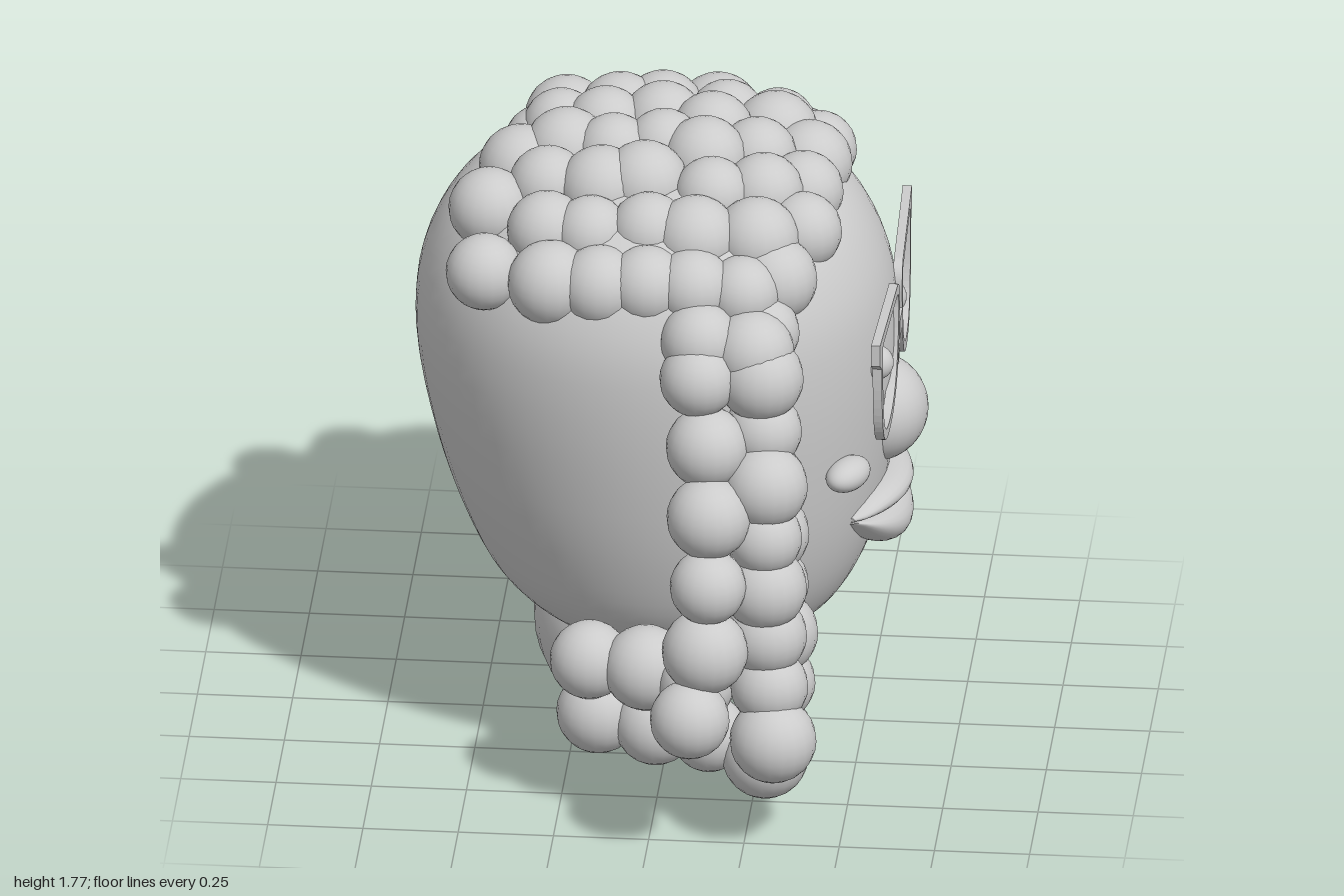
import * as THREE from 'three';

const mat = new THREE.MeshStandardMaterial({ color: 0xcccccc });
const matTwoSided = new THREE.MeshStandardMaterial({ color: 0xcccccc, side: THREE.DoubleSide });
const V = (p) => new THREE.Vector3(...p);

function add(parent, name, geometry, pos = [0, 0, 0], material = mat) {
  const mesh = new THREE.Mesh(geometry, material);
  mesh.name = name;
  mesh.position.set(...pos);
  parent.add(mesh);
  return mesh;
}

function ellipsoid(parent, name, pos, radii) {
  const mesh = add(parent, name, new THREE.SphereGeometry(1, 32, 20), pos);
  mesh.scale.set(...radii);
  return mesh;
}

// Skin a stack of closed rings: ring(t, angle) gives a point
function loft(ring, rows, cols) {
  const pos = [], idx = [];
  for (let i = 0; i <= rows; i++)
    for (let j = 0; j < cols; j++) pos.push(...ring(i / rows, (j / cols) * Math.PI * 2));
  for (let i = 0; i < rows; i++)
    for (let j = 0; j < cols; j++) {
      const a = i * cols + j, b = i * cols + (j + 1) % cols;
      idx.push(a, a + cols, b, b, a + cols, b + cols);
    }
  const g = new THREE.BufferGeometry();
  g.setAttribute('position', new THREE.Float32BufferAttribute(pos, 3));
  g.setIndex(idx);
  g.computeVertexNormals();
  return g;
}

// Head: elliptical rings, each [back x, front x, half width, y]
function headGeometry() {
  const rings = [
    [-0.04, -0.04, 0, 0.3], [-0.25, 0.28, 0.25, 0.325], [-0.37, 0.41, 0.38, 0.39], [-0.475, 0.49, 0.475, 0.5],
    [-0.55, 0.545, 0.535, 0.65], [-0.62, 0.578, 0.585, 0.86], [-0.673, 0.592, 0.62, 1.15],
    [-0.657, 0.567, 0.61, 1.35], [-0.58, 0.49, 0.54, 1.51], [-0.46, 0.38, 0.43, 1.6],
    [-0.28, 0.22, 0.26, 1.66], [-0.04, -0.04, 0, 1.68],
  ];
  const back = new THREE.CatmullRomCurve3(rings.map((r) => V([r[0], r[3], r[2]])));
  const front = new THREE.CatmullRomCurve3(rings.map((r) => V([r[1], r[3], r[2]])));
  return loft((t, a) => {
    const b = back.getPoint(t), f = front.getPoint(t);
    return [(b.x + f.x) / 2 + (f.x - b.x) / 2 * Math.cos(a), b.y, Math.max(0, b.z) * Math.sin(a)];
  }, 44, 64);
}

// Lip: lens-shaped sections swept from one mouth corner to the other
function lipGeometry(top, bottom) {
  return loft((t, a) => {
    const s = 1 - t * 2, hi = top(s), lo = bottom(s), full = Math.sqrt(Math.max(0, 1 - s * s));
    const x = 0.56 - 0.07 * s * s + (0.01 + 0.06 * full) * Math.cos(a);
    return [x, (hi + lo) / 2 + (hi - lo) / 2 * Math.sin(a), 0.015 + 0.265 * s];
  }, 32, 20);
}

// Rim outline of one lens, drawn outwards from the nose; inset k gives the hole
function rim(path, k) {
  path.moveTo(0.08, 1.325 - k);
  path.lineTo(0.4, 1.337 - k);
  if (k) path.quadraticCurveTo(0.415, 1.31, 0.413, 1.27);
  else { path.lineTo(0.475, 1.34); path.lineTo(0.475, 1.28); path.lineTo(0.44, 1.255); }
  path.bezierCurveTo(0.435 - k, 1.07, 0.4 - k, 0.99 + k, 0.27, 0.99 + k);
  path.bezierCurveTo(0.11 + k, 0.99 + k, 0.045 + k, 1.09, 0.032 + k, 1.25);
  path.quadraticCurveTo(0.03 + k, 1.315 - k, 0.08, 1.325 - k);
  return path;
}

function buildGlasses(parent) {
  const glasses = new THREE.Group();
  glasses.name = 'glasses';
  const shape = rim(new THREE.Shape(), 0);
  shape.holes.push(rim(new THREE.Path(), 0.028));
  const rimGeo = new THREE.ExtrudeGeometry(shape, { depth: 0.024, bevelEnabled: false, curveSegments: 16 });
  for (const s of [1, -1]) {
    const g = rimGeo.clone();
    const p = g.attributes.position;
    for (let i = 0; i < p.count; i++) {
      const x = p.getX(i);
      p.setXYZ(i, 0.575 - 0.03 * x + p.getZ(i), p.getY(i), 0.012 + s * x);
    }
    g.computeVertexNormals();
    add(glasses, s > 0 ? 'leftRim' : 'rightRim', g, [0, 0, 0], matTwoSided);
  }
  add(glasses, 'bridge', new THREE.BoxGeometry(0.024, 0.05, 0.09), [0.587, 1.175, 0.012]);
  parent.add(glasses);
}

function buildHair(parent) {
  const hair = new THREE.Group();
  hair.name = 'hair';
  const curlGeo = new THREE.SphereGeometry(1, 20, 14);
  let count = 0;
  const curl = (p) => {
    const r = 0.107 + 0.007 * Math.sin(count++ * 2.4);
    add(hair, 'curl', curlGeo, [p.x, p.y, p.z]).scale.setScalar(r);
  };
  const strand = (n, points, side = 1) => {
    const c = new THREE.CatmullRomCurve3(points.map(([x, y, z]) => V([x, y, z * side])));
    for (let i = 0; i < n; i++) curl(c.getPointAt(i / (n - 1)));
  };
  // Cap: arcs across the crown [x, height, half width, from and to in degrees, curls]
  const arcs = [
    [0.36, 0.49, 0.6, -56, 56, 8], [0.24, 0.54, 0.65, -62, 62, 9], [0.1, 0.565, 0.67, -62, 60, 10],
    [-0.04, 0.565, 0.68, -58, 46, 8], [-0.17, 0.555, 0.68, -54, 46, 8], [-0.3, 0.54, 0.67, -29, 45, 6],
  ];
  for (const [x, h, w, from, to, n] of arcs)
    for (let i = 0; i < n; i++) {
      const a = THREE.MathUtils.degToRad(from + (to - from) * i / (n - 1));
      const sway = (x > 0.3 ? -0.12 * Math.sin(a) ** 2 : 0) + 0.02 * Math.sin(i * 2.2 + x * 9);
      curl(V([x + sway, 1.1 + h * Math.cos(a), w * Math.sin(a)]));
    }
  // Back edge of the cap, running askew
  strand(4, [[-0.36, 1.57, -0.17], [-0.39, 1.6, 0.01], [-0.46, 1.58, 0.21], [-0.46, 1.48, 0.42]]);
  // Front edge of the side curtains, shared by both sides
  for (const s of [1, -1])
    strand(8, [[0.28, 1.29, 0.6], [0.29, 1.1, 0.61], [0.3, 0.8, 0.61], [0.32, 0.5, 0.59], [0.31, 0.25, 0.58]], s);
  // Left side: filler, outer column, and short curls turning behind the neck
  strand(6, [[0.3, 1.02, 0.69], [0.3, 0.8, 0.72], [0.31, 0.52, 0.72], [0.33, 0.33, 0.79]]);
  strand(6, [[0.12, 1.3, 0.64], [0.15, 1.1, 0.69], [0.16, 0.92, 0.78], [0.16, 0.73, 0.82], [0.15, 0.56, 0.83], [0.12, 0.43, 0.89]]);
  strand(3, [[-0.17, 0.44, 0.58], [-0.03, 0.44, 0.61], [0.12, 0.43, 0.68]]);
  strand(4, [[-0.15, 0.27, 0.54], [0, 0.26, 0.58], [0.14, 0.27, 0.64], [0.3, 0.23, 0.68]]);
  strand(2, [[0.06, 0.28, 0.44], [0.18, 0.44, 0.51]]);
  // Right side: fuller curtain reaching further back
  strand(6, [[0.26, 1.05, -0.7], [0.26, 0.8, -0.73], [0.25, 0.52, -0.74], [0.25, 0.33, -0.77]]);
  strand(8, [[-0.17, 1.32, -0.61], [-0.18, 1.1, -0.64], [-0.18, 0.75, -0.66], [-0.2, 0.5, -0.68], [-0.2, 0.27, -0.66]]);
  strand(8, [[-0.02, 1.36, -0.64], [0, 1, -0.71], [0, 0.65, -0.77], [0, 0.28, -0.9]]);
  strand(8, [[0.13, 1.32, -0.65], [0.14, 1, -0.72], [0.14, 0.65, -0.78], [0.15, 0.28, -0.84]]);
  strand(4, [[-0.26, 0.36, -0.82], [-0.13, 0.4, -0.79], [0.02, 0.46, -0.83], [0.14, 0.5, -0.85]]);
  strand(3, [[0.2, 0.28, -0.4], [0.18, 0.27, -0.55], [0.18, 0.27, -0.71]]);
  strand(3, [[0.2, 0.46, -0.47], [0.12, 0.44, -0.6], [0, 0.3, -0.68]]);
  parent.add(hair);
}

export function createModel() {
  const model = new THREE.Group();
  model.name = 'curlyHairedHead';

  add(model, 'head', headGeometry(), [0, 0, 0.01]);
  ellipsoid(model, 'neck', [-0.06, 0.31, 0.015], [0.305, 0.305, 0.307]);

  // Face, looking towards +x
  ellipsoid(model, 'nose', [0.525, 0.93, 0.015], [0.145, 0.143, 0.15]);
  for (const s of [1, -1]) {
    const z = (d) => 0.015 + s * d;
    ellipsoid(model, s > 0 ? 'leftEye' : 'rightEye', [0.55, 1.155, z(0.195)], [0.046, 0.046, 0.046]);
    ellipsoid(model, s > 0 ? 'leftCheek' : 'rightCheek', [0.49, 0.905, z(0.353)], [0.05, 0.043, 0.078]).rotation.y = -s * 0.45;
  }
  const seam = (s) => 0.69 + 0.03 * s * s;
  add(model, 'upperLip', lipGeometry((s) => 0.768 - 0.038 * s ** 4, seam));
  add(model, 'lowerLip', lipGeometry(seam, (s) => 0.565 + 0.15 * s * s));

  buildGlasses(model);
  buildHair(model);
  return model;
}
